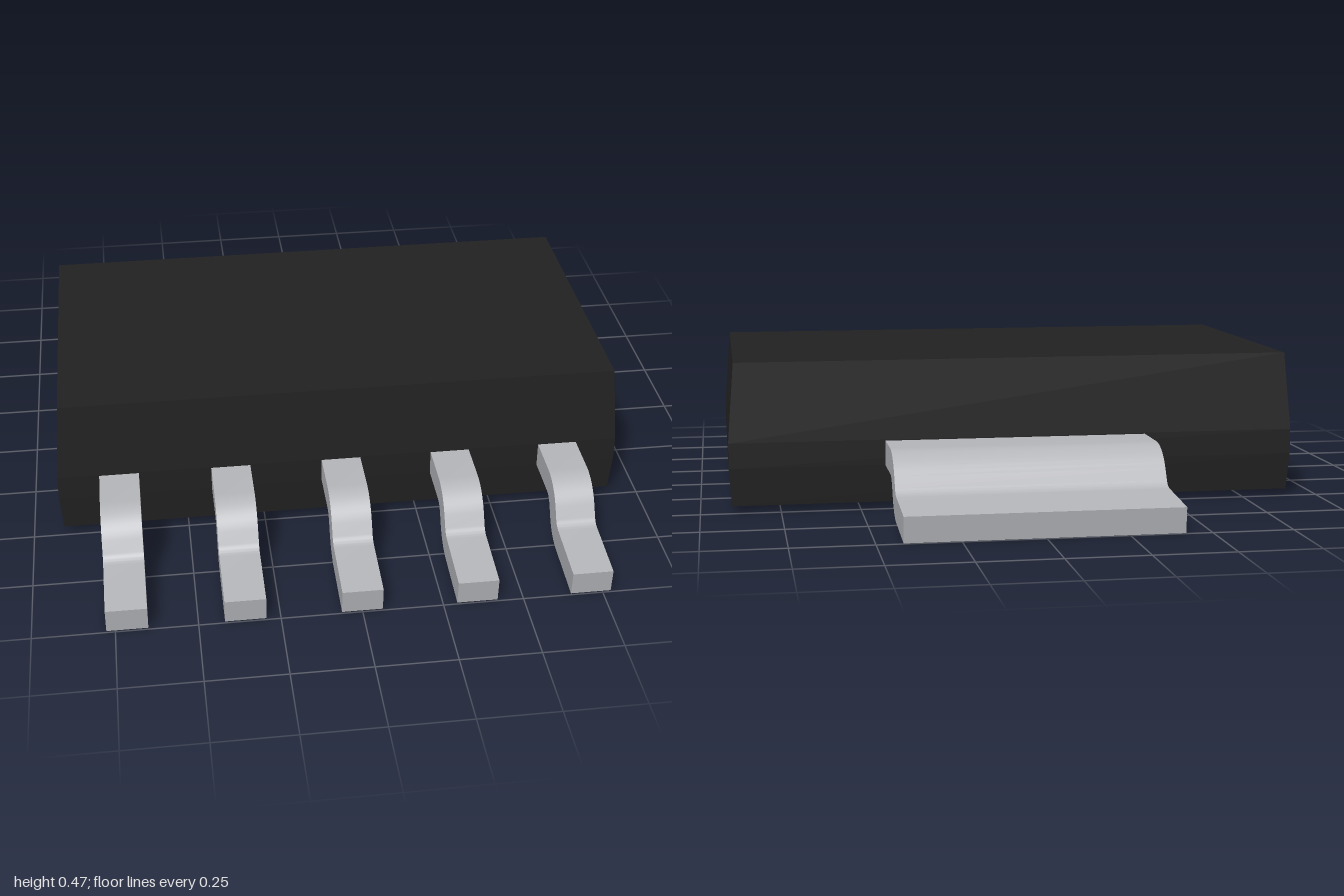
import * as THREE from 'three';
import { toCreasedNormals } from 'three/addons/utils/BufferGeometryUtils.js';

const THICK = 0.08;

// Gull-wing side profile: flat shoulder, two bends, slightly drooping foot
function leadShape() {
  const bend = THREE.MathUtils.degToRad(60), foot = THREE.MathUtils.degToRad(5);
  const pts = [[0.4, 0.181, 0]]; // outward, up, downward angle
  const steps = 8, r1 = 0.09, r2 = 0.08, straight = 0.04;
  const x0 = 0.637, y0 = 0.181;
  for (let i = 0; i <= steps; i++) {
    const a = bend * i / steps;
    pts.push([x0 + r1 * Math.sin(a), y0 - r1 * (1 - Math.cos(a)), a]);
  }
  let [x, y] = pts[pts.length - 1];
  x += straight * Math.cos(bend);
  y -= straight * Math.sin(bend);
  for (let i = 0; i <= steps; i++) {
    const a = bend + (foot - bend) * i / steps;
    pts.push([x + r2 * (Math.sin(bend) - Math.sin(a)), y - r2 * (Math.cos(a) - Math.cos(bend)), a]);
  }
  [x, y] = pts[pts.length - 1];
  const run = 0.997 - x;
  pts.push([0.997, y - run * Math.tan(foot), foot]);
  const side = (s) => pts.map(([px, py, a]) =>
    new THREE.Vector2(px + s * Math.sin(a) * THICK / 2, py + s * Math.cos(a) * THICK / 2));
  return new THREE.Shape([...side(-1), ...side(1).reverse()]);
}

// Lead strip of a given width, pointing towards +z
function leadGeometry(width) {
  const g = new THREE.ExtrudeGeometry(leadShape(), { depth: width, bevelEnabled: false });
  g.translate(0, 0, -width / 2);
  g.rotateY(-Math.PI / 2);
  g.computeBoundingBox();
  g.translate(0, -g.boundingBox.min.y, 0);
  return toCreasedNormals(g, 0.6);
}

// Moulded block, widest at the lead line and drafted above and below
function bodyGeometry() {
  const levels = [[0.02, 0.902, 0.483], [0.14, 0.91, 0.492], [0.22, 0.91, 0.492], [0.47, 0.89, 0.471]];
  const g = new THREE.BoxGeometry(2, 3, 2, 1, 3, 1).toNonIndexed();
  const p = g.attributes.position;
  for (let i = 0; i < p.count; i++) {
    const [y, hx, hz] = levels[Math.round(p.getY(i) + 1.5)];
    p.setXYZ(i, p.getX(i) * hx, y, p.getZ(i) * hz);
  }
  g.computeVertexNormals();
  return g;
}

export function createModel() {
  const group = new THREE.Group();
  const plastic = new THREE.MeshStandardMaterial({ color: 0x222222 });
  plastic.name = 'blackPlastic';
  const metal = new THREE.MeshStandardMaterial({ color: 0xb6b7bb });
  metal.name = 'tinnedMetal';

  const add = (name, geometry, material) => {
    const mesh = new THREE.Mesh(geometry, material);
    mesh.name = name;
    group.add(mesh);
    return mesh;
  };

  add('body', bodyGeometry(), plastic);

  // Five narrow leads along the front
  const pin = leadGeometry(0.126);
  for (let i = -2; i <= 2; i++) add('lead' + (i + 3), pin, metal).position.x = i * 0.357;

  // Wide tab at the back
  add('heatTab', leadGeometry(0.84), metal).rotation.y = Math.PI;
  return group;
}
